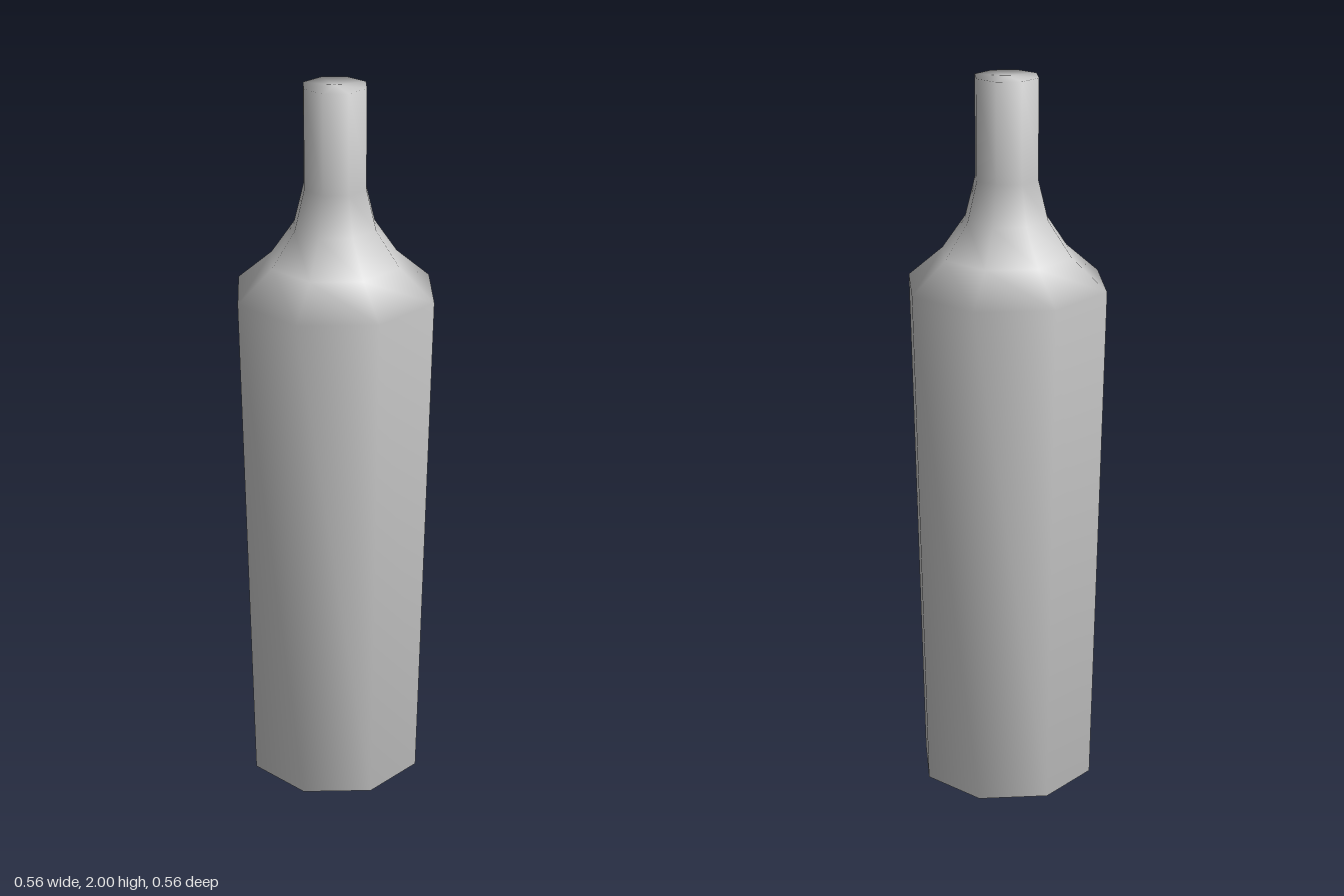
import * as THREE from 'three';

export function createModel() {
  const group = new THREE.Group();
  group.name = 'bottle';

  // Profile from the centre of the base to the centre of the mouth
  const profile = [
    [0, 0],         // base centre
    [0.25, 0],      // base rim
    [0.28, 1.44],   // shoulder
    [0.182, 1.525],
    [0.116, 1.62],
    [0.088, 1.73],  // neck start
    [0.088, 2],     // mouth rim
    [0, 2],         // mouth centre
  ].map(([r, y]) => new THREE.Vector2(r, y));

  // Eight-sided body with smooth normals, corners on the axes
  const body = new THREE.Mesh(
    new THREE.LatheGeometry(profile, 8),
    new THREE.MeshStandardMaterial({ color: 0xcccccc })
  );
  body.name = 'bottleBody';
  group.add(body);
  return group;
}
